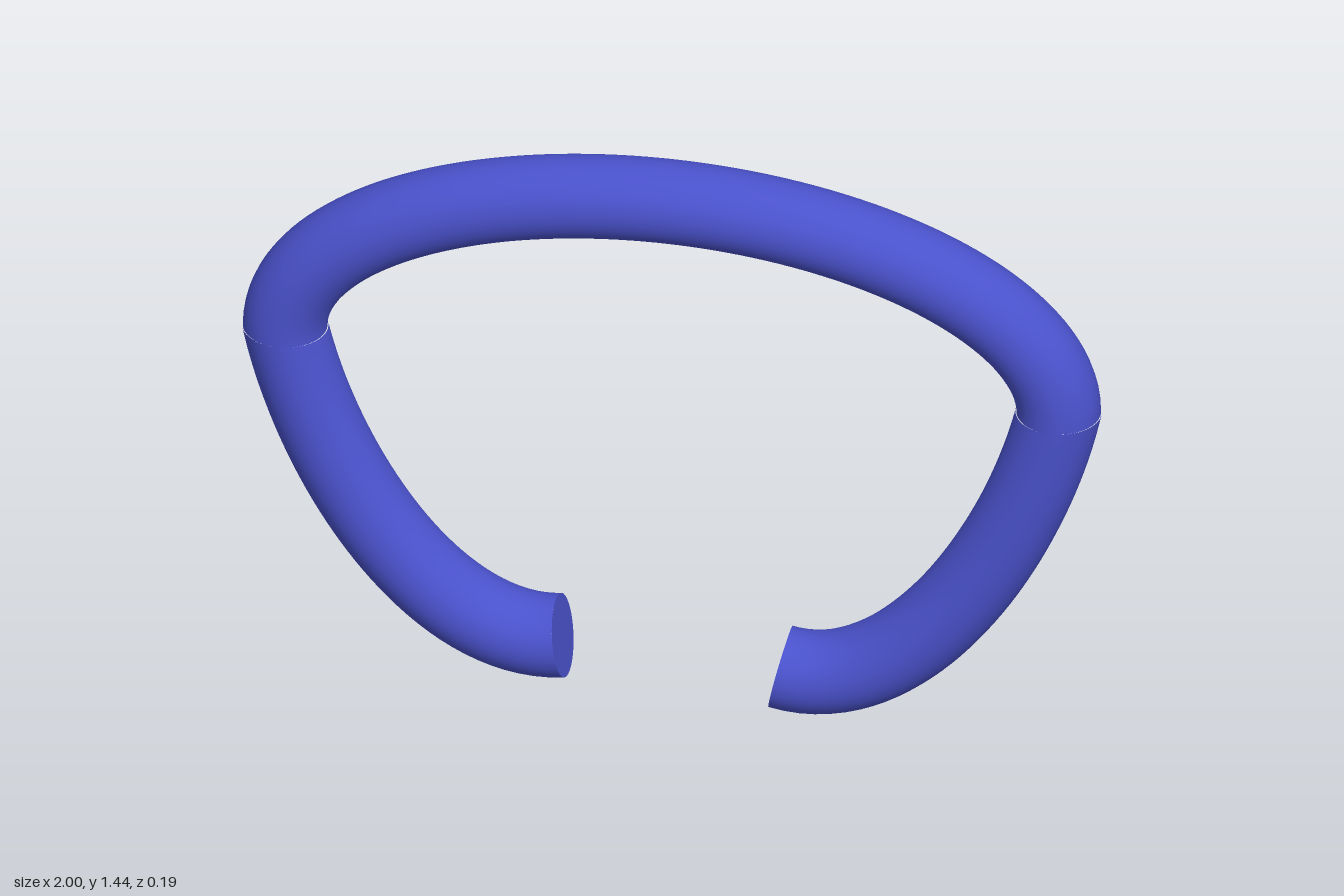
import * as THREE from 'three';

const R = 0.097;       // tube radius
const JOINT_Y = 0.89;  // height where the arms meet the arch
const v = (x, y) => new THREE.Vector3(x, y, 0);

// Half ellipse running over the top
class ArchCurve extends THREE.Curve {
  getPoint(t, target = new THREE.Vector3()) {
    const a = Math.PI * (1 - t);
    return target.set(0.902 * Math.cos(a), JOINT_Y + 0.456 * Math.sin(a), 0);
  }
}

export function createModel() {
  const group = new THREE.Group();
  const material = new THREE.MeshStandardMaterial({ color: 0x4a52cc });
  const add = (name, geometry) => {
    const mesh = new THREE.Mesh(geometry, material);
    mesh.name = name;
    group.add(mesh);
    return mesh;
  };

  add('upperArch', new THREE.TubeGeometry(new ArchCurve(), 96, R, 40));

  // Curved arm with a mitred start and a flat end cap
  const addArm = (side, points) => {
    const curve = new THREE.CubicBezierCurve3(...points);
    const geometry = new THREE.TubeGeometry(curve, 40, R, 40);
    const start = curve.getTangentAt(0);
    const pos = geometry.attributes.position;
    for (let i = 0; i <= 40; i++) {
      // slide the first ring along the tangent onto the joint plane
      const k = (JOINT_Y - pos.getY(i)) / start.y;
      pos.setXY(i, pos.getX(i) + k * start.x, JOINT_Y);
    }
    add(side + 'Arm', geometry);

    const cap = add(side + 'EndCap', new THREE.CircleGeometry(R, 40));
    cap.position.copy(points[3]);
    cap.quaternion.setFromUnitVectors(new THREE.Vector3(0, 0, 1), curve.getTangentAt(1));
  };

  addArm('right', [v(-0.902, JOINT_Y), v(-0.82, 0.5), v(-0.55, 0.072), v(-0.255, 0.122)]);
  addArm('left', [v(0.902, JOINT_Y), v(0.82, 0.5), v(0.545, 0.04), v(0.253, 0.104)]);

  return group;
}
